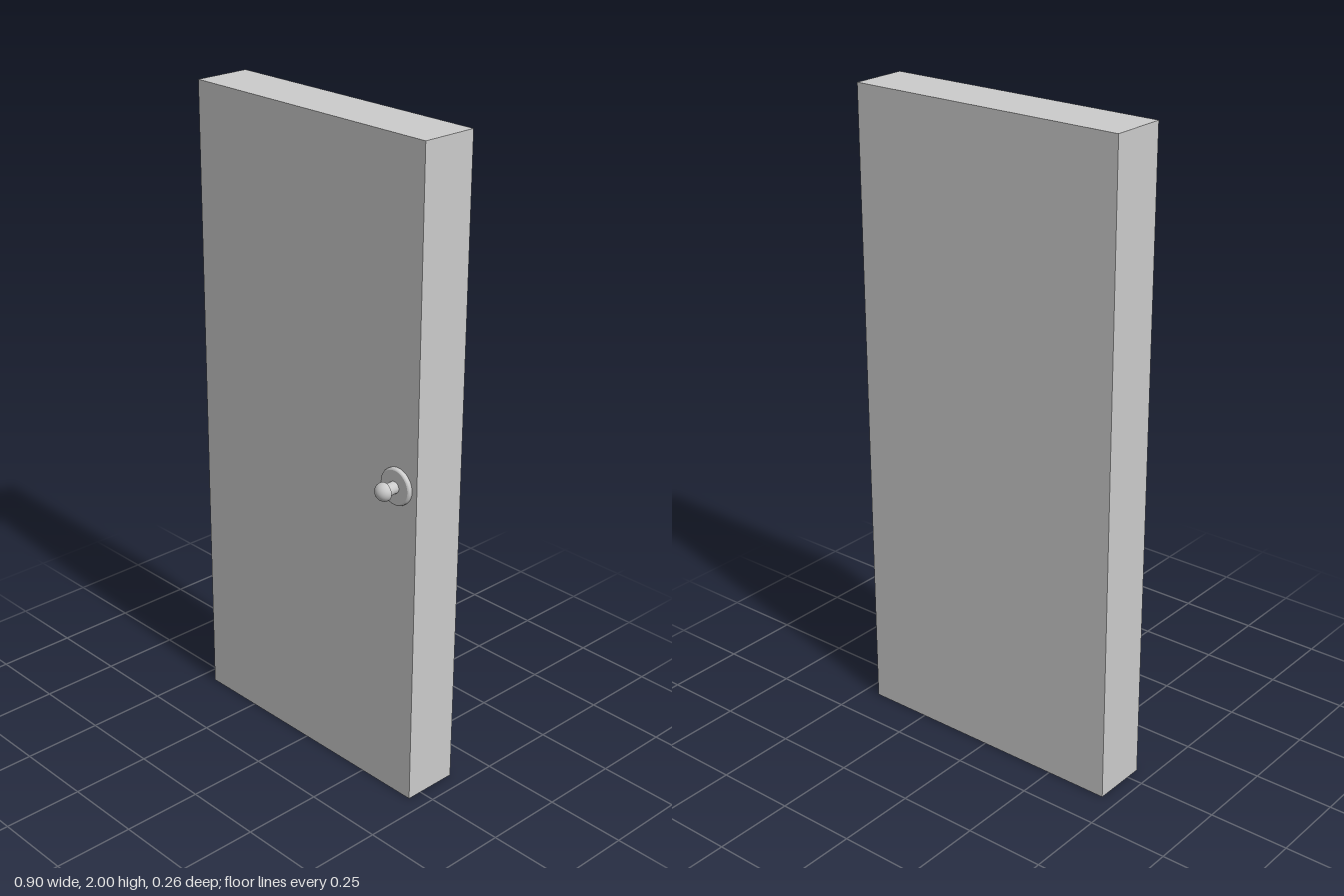
import * as THREE from 'three';

// Revolve a [radius, z] profile around the z axis
function turned(name, profile, material) {
  const points = profile.map(([r, z]) => new THREE.Vector2(r, z));
  const geometry = new THREE.LatheGeometry(points, 32);
  geometry.rotateX(Math.PI / 2);
  const mesh = new THREE.Mesh(geometry, material);
  mesh.name = name;
  return mesh;
}

export function createModel() {
  const group = new THREE.Group();
  group.name = 'door';
  const material = new THREE.MeshStandardMaterial({ color: 0xcccccc });
  const front = 0.048, back = -0.129;

  // Plain slab
  const slab = new THREE.Mesh(new THREE.BoxGeometry(0.898, 2, front - back), material);
  slab.name = 'doorPanel';
  slab.position.set(0, 1, (front + back) / 2);
  group.add(slab);

  // Knob assembly, standing out from the front face
  const handle = new THREE.Group();
  handle.name = 'doorHandle';
  handle.position.set(0.375, 1.009, front);

  // Round backplate with a softened rim
  handle.add(turned('backplate', [
    [0, 0], [0.056, 0], [0.056, 0], [0.056, 0.009], [0.0545, 0.012],
    [0.051, 0.0135], [0.051, 0.0135], [0, 0.0135],
  ], material));

  // Neck, slightly flared towards the knob
  handle.add(turned('neck', [
    [0.018, 0.012], [0.018, 0.03], [0.021, 0.052],
  ], material));

  // Domed knob with a flat underside
  const dome = [[0, 0.051], [0.028, 0.051], [0.028, 0.051]];
  for (let i = 0; i <= 10; i++) {
    const a = (i / 10) * Math.PI / 2;
    dome.push([0.028 * Math.cos(a), 0.053 + 0.026 * Math.sin(a)]);
  }
  handle.add(turned('knob', dome, material));

  group.add(handle);
  return group;
}
